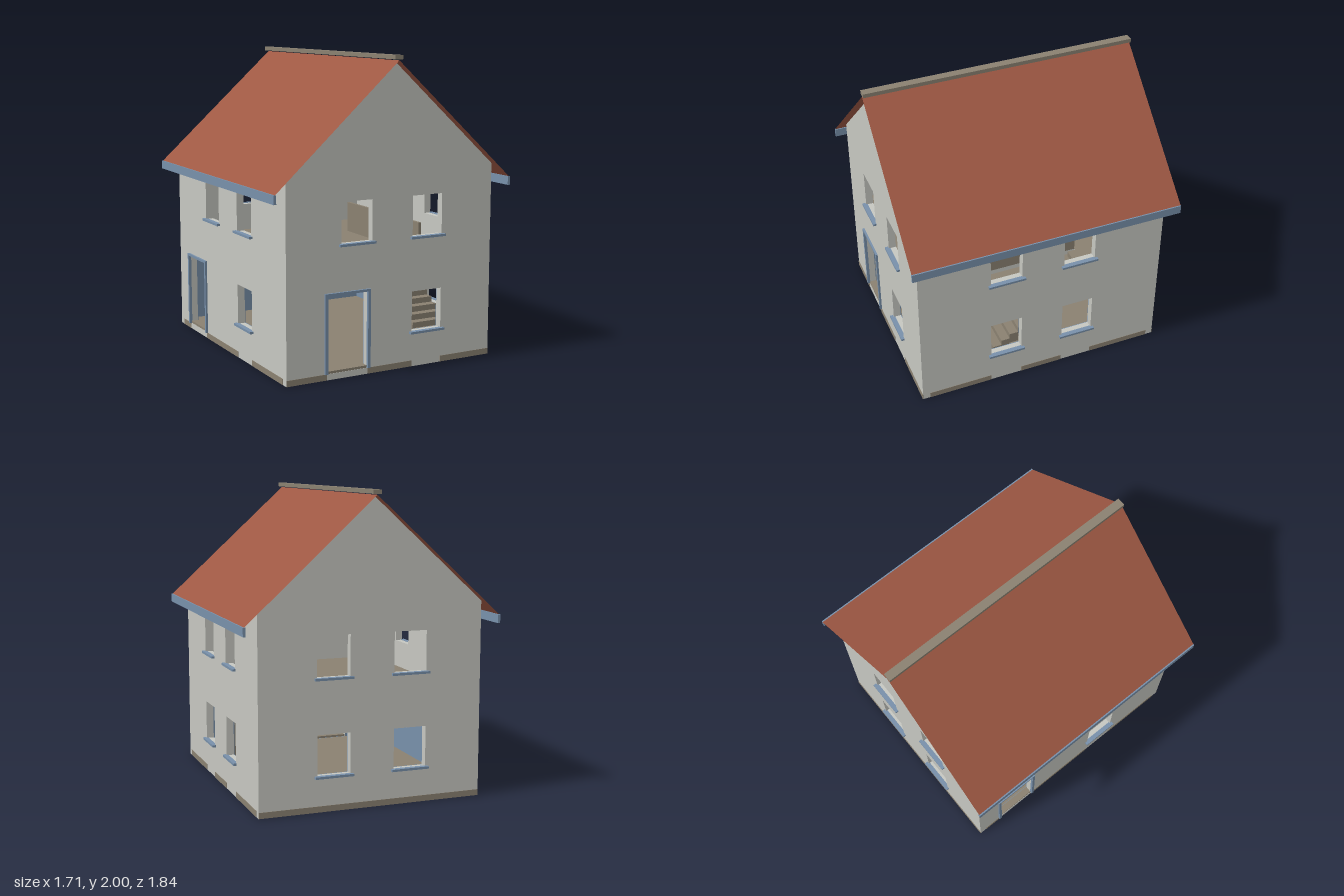
import * as THREE from 'three';

const paint = (name, color) => Object.assign(new THREE.MeshStandardMaterial({ color }), { name });

export function createModel() {
  const wallGrey = paint('wall grey', 0xc6c7c1);
  const trimBlue = paint('trim blue', 0x7890aa);
  const floorBrown = paint('floor brown', 0x8a8171);
  const roofRed = paint('roof red', 0x9e5843);
  roofRed.side = THREE.DoubleSide;

  const house = new THREE.Group();
  house.name = 'house';

  const add = (parent, name, geometry, material) => {
    const mesh = new THREE.Mesh(geometry, material);
    mesh.name = name;
    parent.add(mesh);
    return mesh;
  };
  // Box given by its minimum and maximum corners
  const box = (parent, name, material, [x0, x1], [y0, y1], [z0, z1]) => {
    const mesh = add(parent, name, new THREE.BoxGeometry(x1 - x0, y1 - y0, z1 - z0), material);
    mesh.position.set((x0 + x1) / 2, (y0 + y1) / 2, (z0 + z1) / 2);
    return mesh;
  };
  const panel = (points, openings, depth) => {
    const shape = new THREE.Shape(points.map(([x, y]) => new THREE.Vector2(x, y)));
    for (const [x0, x1, y0, y1] of openings) {
      shape.holes.push(new THREE.Path([
        new THREE.Vector2(x0, y0), new THREE.Vector2(x0, y1),
        new THREE.Vector2(x1, y1), new THREE.Vector2(x1, y0),
      ]));
    }
    return new THREE.ExtrudeGeometry(shape, { depth, bevelEnabled: false });
  };

  const T = 0.05, EAVES = 1.285, RIDGE = 1.965;
  const storeys = [0.23, 0.85];
  const windowAt = (u, y) => [u - 0.11, u + 0.11, y, y + 0.265];

  // One wall in its own plane, facing local +z at distance D
  function wall({ name, turn, D, half, gable, door, plinth }) {
    const side = new THREE.Group();
    side.name = name;
    side.rotation.y = turn;
    house.add(side);

    const windows = [];
    for (const y of storeys) {
      for (const u of [-0.258, 0.258]) {
        if (!(door !== undefined && y < 0.5 && u < 0)) windows.push(windowAt(u, y));
      }
    }
    const openings = [...windows];
    if (door !== undefined) openings.push([door - 0.145, door + 0.145, 0.04, 0.54]);

    const outline = [[-half, 0], [half, 0], [half, EAVES]];
    if (gable) outline.push([0, RIDGE]);
    outline.push([-half, EAVES]);
    add(side, name + 'Masonry', panel(outline, openings, T), wallGrey).position.z = D - T;

    // Painted lining of the ground storey
    const w = half - (gable ? T : 0);
    const lower = openings.filter((o) => o[3] < 0.6);
    add(side, name + 'Lining', panel([[-w, 0.01], [w, 0.01], [w, 0.62], [-w, 0.62]], lower, 0.005), trimBlue)
      .position.z = D - T - 0.005;

    for (const [x0, x1, y0] of windows) {
      box(side, 'windowSill', trimBlue, [x0 - 0.018, x1 + 0.018], [y0 - 0.012, y0 + 0.003], [D - 0.01, D + 0.022]);
    }
    if (door !== undefined) {
      const z = [D - 0.005, D + 0.014];
      for (const s of [-1, 1]) {
        const a = door + s * 0.142, b = door + s * 0.161;
        box(side, 'doorJamb', trimBlue, [Math.min(a, b), Math.max(a, b)], [0.04, 0.552], z);
      }
      box(side, 'doorHead', trimBlue, [door - 0.142, door + 0.142], [0.536, 0.552], z);
      box(side, 'threshold', floorBrown, [door - 0.142, door + 0.142], [0.035, 0.055], [D - T, D - 0.002]);
    }
    for (const range of plinth) box(side, 'plinth', floorBrown, range, [0.001, 0.04], [D - 0.001, D + 0.003]);
  }

  wall({ name: 'frontWall', turn: 0, D: 0.86, half: 0.75, gable: true, door: -0.325,
    plinth: [[-0.75, -0.47], [-0.18, 0.148], [0.368, 0.75]] });
  wall({ name: 'backWall', turn: Math.PI, D: 0.86, half: 0.75, gable: true, plinth: [[-0.75, 0.75]] });
  wall({ name: 'leftWall', turn: Math.PI / 2, D: 0.75, half: 0.81,
    plinth: [[-0.81, -0.368], [-0.148, 0.148], [0.368, 0.81]] });
  wall({ name: 'rightWall', turn: -Math.PI / 2, D: 0.75, half: 0.81, door: -0.53,
    plinth: [[-0.81, -0.675], [-0.385, 0.148], [0.368, 0.81]] });

  // Floors and ceilings, with an opening over the stairs
  box(house, 'groundFloor', floorBrown, [-0.7, 0.7], [0.002, 0.04], [-0.81, 0.81]);
  const upperPieces = [
    [[-0.7, 0.4], [-0.81, 0.81]],
    [[0.4, 0.7], [0.57, 0.81]],
    [[0.4, 0.7], [-0.81, -0.39]],
  ];
  for (const [x, z] of upperPieces) {
    box(house, 'upperFloor', floorBrown, x, [0.652, 0.66], z);
    box(house, 'lowerCeiling', wallGrey, x, [0.62, 0.652], z);
  }
  box(house, 'upperCeiling', wallGrey, [-0.7, 0.7], [1.24, 1.28], [-0.81, 0.81]);

  // Stairs rising towards the back, and the guard beside the stairwell
  const rise = 0.62 / 16;
  for (let n = 1; n <= 16; n++) {
    const top = 0.04 + n * rise, z = 0.57 - n * 0.06;
    box(house, 'stairStep', floorBrown, [0.42, 0.69], [Math.max(0.04, top - 2 * rise), top], [z, z + 0.06]);
  }
  box(house, 'stairGuard', floorBrown, [0.38, 0.4], [0.66, 0.875], [-0.39, 0.57]);

  // Roof slopes, eaves boards and ridge cap
  const run = 0.85, drop = run * (RIDGE - EAVES) / 0.75;
  for (const s of [-1, 1]) {
    const slope = new THREE.PlaneGeometry(Math.hypot(run, drop), 1.84);
    slope.rotateX(-Math.PI / 2).rotateZ(-s * Math.atan2(drop, run));
    add(house, 'roofSlope', slope, roofRed).position.set(s * run / 2, RIDGE - drop / 2 + 0.003, 0);
    box(house, 'eavesBoard', trimBlue, s > 0 ? [0.84, 0.857] : [-0.857, -0.84], [1.142, 1.199], [-0.92, 0.92]);
  }
  box(house, 'ridgeCap', floorBrown, [-0.028, 0.028], [1.974, 2], [-0.92, 0.92]);

  return house;
}
